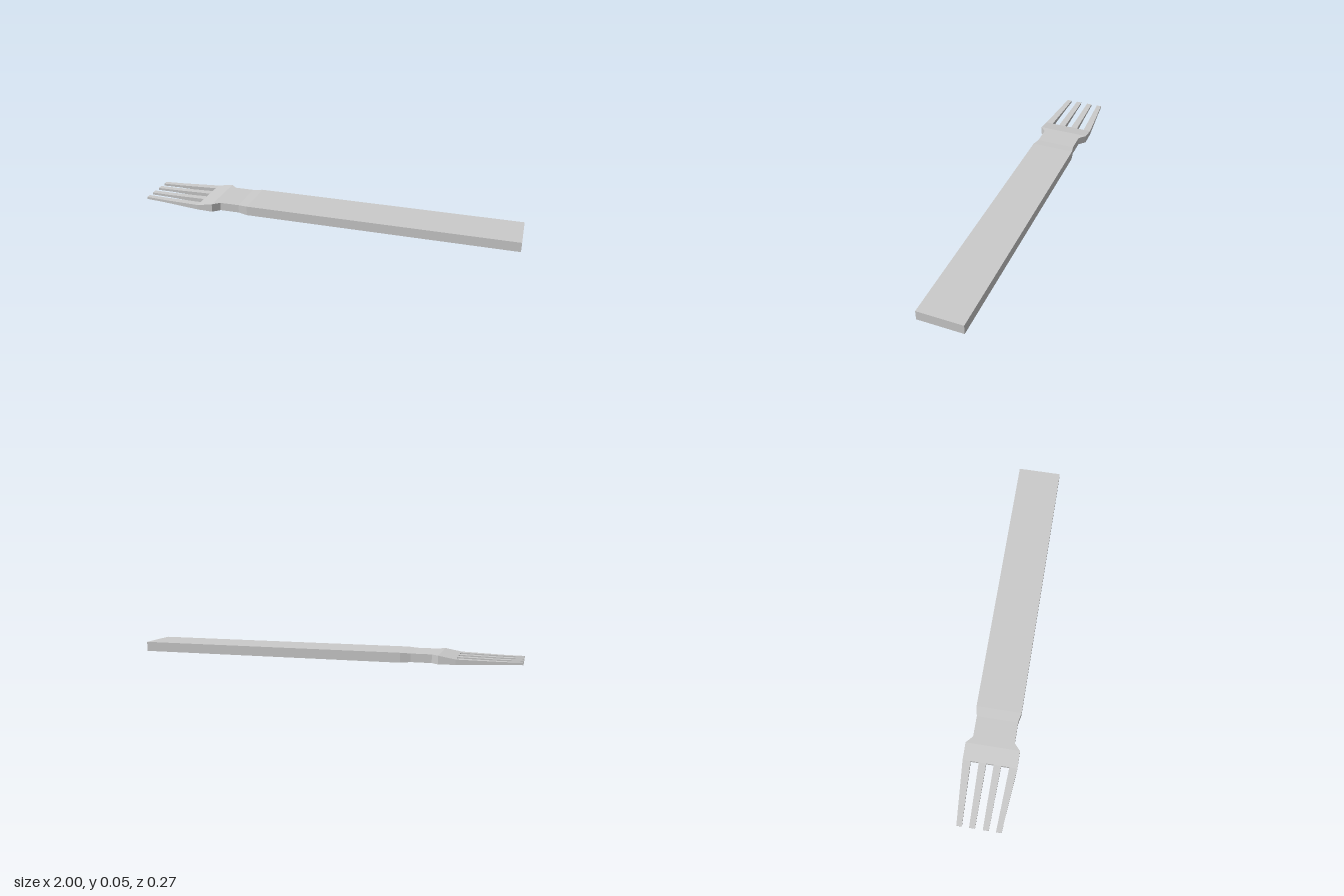
import * as THREE from 'three';

const material = new THREE.MeshStandardMaterial({ color: 0xcccccc, flatShading: true });

// Flat-sided bar through rectangular sections [x, zMin, zMax, yMin, yMax], listed from -x to +x
function bar(name, sections) {
  const pos = [];
  const quad = (a, b, c, d) => pos.push(...a, ...b, ...c, ...a, ...c, ...d);
  const rings = sections.map(([x, z0, z1, y0, y1]) =>
    [[x, y0, z0], [x, y0, z1], [x, y1, z1], [x, y1, z0]]);
  for (let i = 0; i + 1 < rings.length; i++) {
    const p = rings[i], q = rings[i + 1];
    for (let k = 0; k < 4; k++) {
      const n = (k + 1) % 4;
      quad(p[k], q[k], q[n], p[n]);
    }
  }
  const [a, b, c, d] = rings[0];
  quad(a, b, c, d);
  const [e, f, g, h] = rings[rings.length - 1];
  quad(h, g, f, e);
  const geometry = new THREE.BufferGeometry();
  geometry.setAttribute('position', new THREE.Float32BufferAttribute(pos, 3));
  geometry.computeVertexNormals();
  const mesh = new THREE.Mesh(geometry, material);
  mesh.name = name;
  return mesh;
}

export function createModel() {
  const group = new THREE.Group();
  group.name = 'fork';

  // Handle, waisted neck and flared head as one tapering bar: [x, half width, yMin, yMax]
  const body = [
    [-0.685, 0.137, 0.006, 0.032],
    [-0.6, 0.137, 0.004, 0.047],
    [-0.565, 0.105, 0.004, 0.047],
    [-0.46, 0.105, 0.004, 0.047],
    [-0.41, 0.115, 0, 0.05],
    [1, 0.115, 0, 0.05],
  ];
  group.add(bar('handleAndHead', body.map(([x, w, y0, y1]) => [x, -w, w, y0, y1])));

  // Four tapering tines, mirrored across z: [root inner, root outer, tip inner, tip outer]
  const tines = { innerTine: [0.019, 0.056, 0.019, 0.048], outerTine: [0.097, 0.137, 0.083, 0.11] };
  // Tine thickness along its length: [x, yMin, yMax]
  const thickness = [[-1, 0.015, 0.027], [-0.9, 0.014, 0.027], [-0.685, 0.006, 0.032]];
  for (const [name, [rootIn, rootOut, tipIn, tipOut]] of Object.entries(tines)) {
    for (const side of [-1, 1]) {
      group.add(bar(name, thickness.map(([x, y0, y1]) => {
        const t = (x + 1) / 0.315;
        const inner = THREE.MathUtils.lerp(tipIn, rootIn, t);
        const outer = THREE.MathUtils.lerp(tipOut, rootOut, t);
        return side > 0 ? [x, inner, outer, y0, y1] : [x, -outer, -inner, y0, y1];
      })));
    }
  }
  return group;
}
